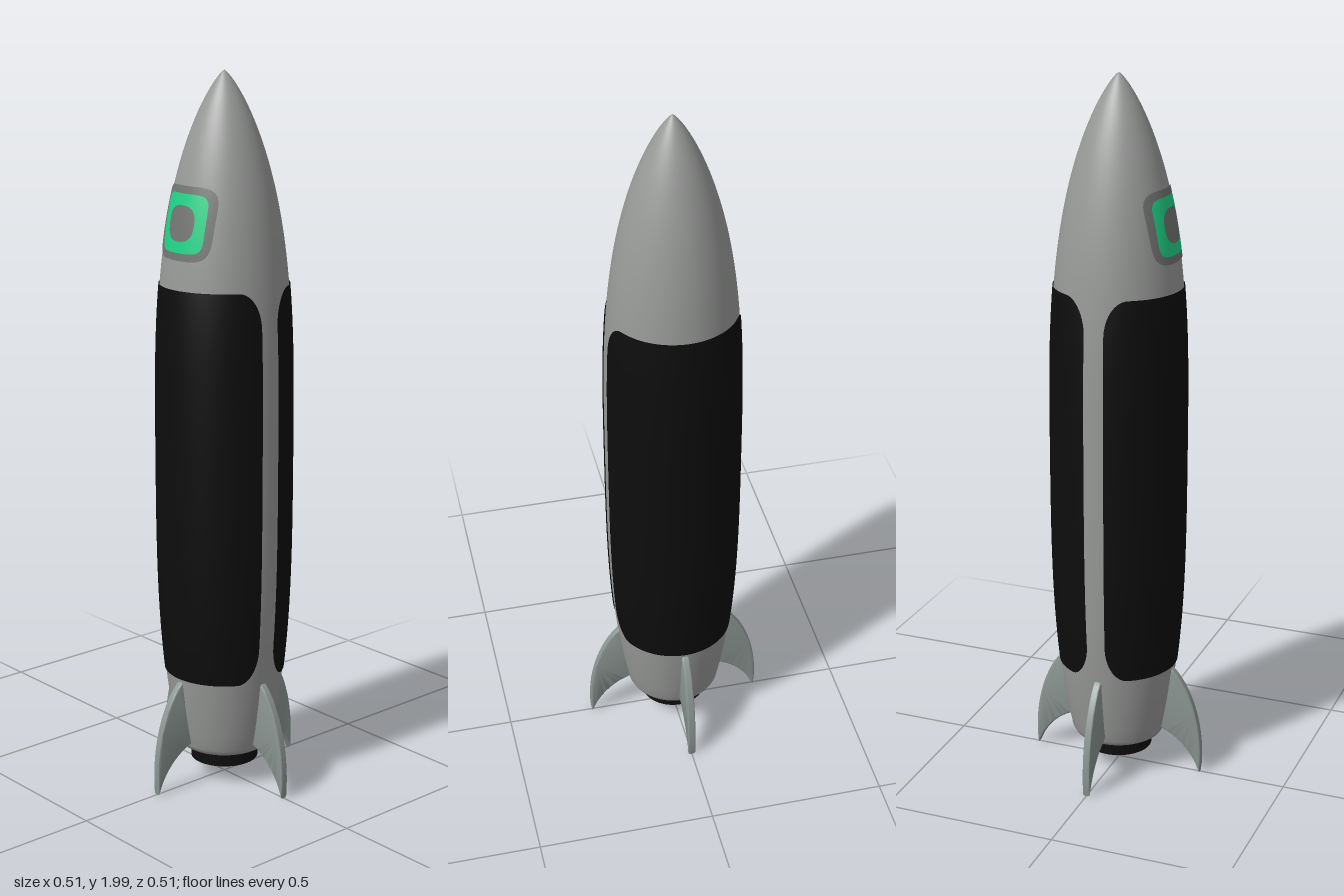
import * as THREE from 'three';
import { toCreasedNormals } from 'three/addons/utils/BufferGeometryUtils.js';

const mat = (name, color, side = THREE.FrontSide) => {
  const m = new THREE.MeshStandardMaterial({ color, side });
  m.name = name;
  return m;
};

// Hull radius at height y: blunt ogive above, gentle taper below
const hullRadius = (y) => y > 1
  ? 0.187 * Math.pow(Math.max(0, 1 - Math.pow(y - 1, 3)), 0.8)
  : 0.187 - 0.0845 * Math.pow(1 - y, 3.36);

// Point on the hull, lifted slightly from its surface
const onHull = (angle, y, lift) => {
  const r = hullRadius(y) + lift;
  return [r * Math.sin(angle), y, r * Math.cos(angle)];
};

// Smooth sheet from a rule (u, v) -> [x, y, z]
function sheet(nu, nv, rule) {
  const pos = [], index = [];
  for (let j = 0; j <= nv; j++)
    for (let i = 0; i <= nu; i++) pos.push(...rule(i / nu, j / nv));
  for (let j = 0; j < nv; j++)
    for (let i = 0; i < nu; i++) {
      const a = j * (nu + 1) + i, d = a + nu + 1;
      index.push(a, a + 1, d + 1, a, d + 1, d);
    }
  const g = new THREE.BufferGeometry();
  g.setAttribute('position', new THREE.Float32BufferAttribute(pos, 3));
  g.setIndex(index);
  g.computeVertexNormals();
  return g;
}

// Dark panel wrapping half the hull, with rounded corners
function panelGeometry() {
  const y0 = 0.335, y1 = 1.435, corner = 0.1, cornerAngle = 0.36, half = Math.PI / 2 - 0.15;
  return sheet(48, 64, (u, v) => {
    const y = y0 + (y1 - y0) * (1 - Math.cos(v * Math.PI)) / 2;
    const k = Math.max(0, 1 - Math.min(y - y0, y1 - y) / corner);
    const w = half - cornerAngle * (1 - Math.sqrt(Math.max(0, 1 - k * k)));
    return onHull((u * 2 - 1) * w, y, 0.003);
  });
}

// Ring between two rounded squares, wrapped on the front of the nose
function windowRing(outer, inner, lift) {
  const edge = ([size, power], t) => {
    const c = Math.cos(t), s = Math.sin(t);
    const k = size / Math.pow(Math.abs(c) ** power + Math.abs(s) ** power, 1 / power);
    return [c * k, s * k];
  };
  return sheet(64, 8, (u, v) => {
    const a = edge(outer, u * Math.PI * 2), b = edge(inner, u * Math.PI * 2);
    const x = a[0] + (b[0] - a[0]) * v, y = 1.61 + a[1] + (b[1] - a[1]) * v;
    return onHull(Math.asin(x / hullRadius(y)), y, lift);
  });
}

// Swept fin with rounded edges, lying in the x-y plane
function finGeometry() {
  const s = new THREE.Shape();
  s.moveTo(0.13, 0.325);
  s.lineTo(0.163, 0.322);
  s.bezierCurveTo(0.215, 0.275, 0.262, 0.16, 0.25, 0.014);
  s.bezierCurveTo(0.235, 0.06, 0.195, 0.115, 0.13, 0.135);
  s.lineTo(0.1, 0.15);
  const g = new THREE.ExtrudeGeometry(s, {
    depth: 0.008, curveSegments: 20, bevelEnabled: true,
    bevelThickness: 0.007, bevelSize: 0.006, bevelOffset: -0.003, bevelSegments: 4,
  });
  g.translate(0, 0, -0.004);
  return toCreasedNormals(g, 0.7);
}

export function createModel() {
  const hullGrey = mat('hull grey', 0x989a98);
  const finGrey = mat('fin grey', 0x8b9592);
  const black = mat('panel black', 0x0d0d0d, THREE.DoubleSide);
  const trimGrey = mat('window trim grey', 0x737573);
  const green = mat('window green', 0x20d488);

  const rocket = new THREE.Group();
  rocket.name = 'rocket';
  const add = (name, geometry, material, parent = rocket) => {
    const m = new THREE.Mesh(geometry, material);
    m.name = name;
    parent.add(m);
    return m;
  };

  // Hull, with a rounded lip at the base and rows crowding toward the tip
  const profile = [[0, 0.115], [0.1, 0.115], [0.107, 0.108], [0.118, 0.107], [0.126, 0.112]]
    .map(([x, y]) => new THREE.Vector2(x, y));
  const rows = 70;
  for (let i = 0; i <= rows; i++) {
    const y = 0.125 + 1.875 * Math.sin((i / rows) * Math.PI / 2);
    profile.push(new THREE.Vector2(i === rows ? 0 : hullRadius(y), y));
  }
  add('hull', new THREE.LatheGeometry(profile, 96), hullGrey);

  // Hollow engine nozzle
  const nozzle = [[0, 0.095], [0.065, 0.09], [0.082, 0.063], [0.095, 0.063], [0.095, 0.118]]
    .map(([x, y]) => new THREE.Vector2(x, y));
  add('nozzle', toCreasedNormals(new THREE.LatheGeometry(nozzle, 64), 0.6), black);

  // Front and back panels
  const panel = panelGeometry();
  add('frontPanel', panel, black);
  add('backPanel', panel, black).rotation.y = Math.PI;

  // Nose window
  const porthole = new THREE.Group();
  porthole.name = 'noseWindow';
  rocket.add(porthole);
  add('windowTrim', windowRing([0.097, 5], [0.077, 6], 0.003), trimGrey, porthole);
  add('windowFrame', windowRing([0.077, 6], [0.047, 2.7], 0.003), green, porthole);
  add('windowPane', windowRing([0.047, 2.7], [0, 2], 0.003), trimGrey, porthole);

  // Four fins
  const fin = finGeometry();
  ['left', 'back', 'right', 'front'].forEach((side, i) => {
    add(side + 'Fin', fin, finGrey).rotation.y = i * Math.PI / 2;
  });
  return rocket;
}
